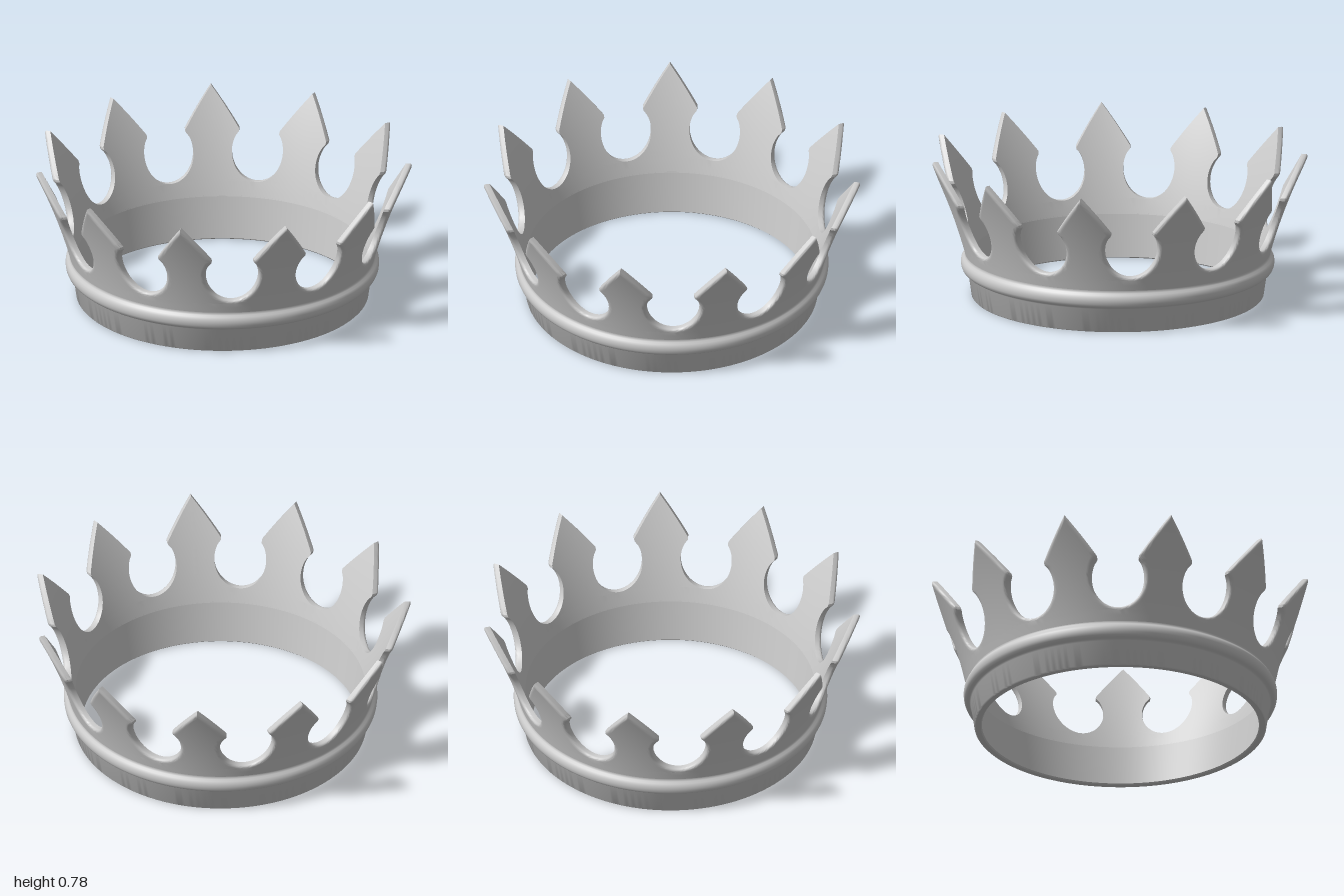
import * as THREE from 'three';
import { mergeGeometries, toCreasedNormals } from 'three/addons/utils/BufferGeometryUtils.js';

const SPIKES = 11;
const HALF = Math.PI / SPIKES;   // half the angle of one spike's sector
const WALL = 0.04, BEVEL = 0.018, COLS = 24, ROUND = 4;
const BASE_TOP = 0.235;
const MEAN_R = 0.87;             // turns angles into lengths for the bevel

// Outer radius of the flaring wall
const outerR = (y) => {
  const h = y - BASE_TOP;
  return 0.8 + 0.27 * h + 0.2 * h * h;
};

// Right edge of one spike, from the bottom of the gap up to the tip: [angle, y]
function spikeEdge() {
  const pts = [];
  for (let i = 0; i <= 24; i++) {
    const a = -Math.PI / 2 + (i / 24) * THREE.MathUtils.degToRad(120);
    pts.push([HALF - 0.165 * Math.cos(a), 0.46 + 0.15 * Math.sin(a)]);
  }
  pts.push([0.161, 0.556], [0.161, 0.571]);
  for (let i = 1; i <= 8; i++) pts.push([0.161 * (1 - i / 8), 0.571 + 0.206 * (i / 8)]);
  return pts;
}

// Mitred outward normal at every edge point
function edgeNormals(pts) {
  const n = pts.length;
  const at = (i) => {
    if (i < 0) return [2 * HALF - pts[1][0], pts[1][1]];
    if (i >= n) return [-pts[n - 2][0], pts[n - 2][1]];
    return pts[i];
  };
  const segment = (p, q) =>
    new THREE.Vector2(q[1] - p[1], -(q[0] - p[0]) * MEAN_R).normalize();
  return pts.map((p, i) => {
    const a = segment(at(i - 1), p), b = segment(p, at(i + 1));
    const k = 1 + a.dot(b);
    return a.add(b).divideScalar(Math.max(k, 0.5));
  });
}

// One sector of wall with its spike: closed sections stacked from bottom to tip
function spikeGeometry() {
  const edge = spikeEdge(), normals = edgeNormals(edge);
  const rows = [];

  const makeRow = (angle, y, normal) => {
    const row = [];
    const inset = (d) => [angle - (normal.x * d) / MEAN_R, y - normal.y * d];
    const put = (a, h, depth) => {
      const r = outerR(h) - depth;
      row.push([r * Math.sin(a), h, r * Math.cos(a)]);
    };
    const [faceAngle, faceY] = inset(BEVEL);
    for (let j = 0; j <= COLS; j++) put(faceAngle * (2 * j / COLS - 1), faceY, 0);
    const rim = [];
    for (let k = 1; k <= ROUND; k++) {
      const t = (k / ROUND) * Math.PI / 2;
      rim.push([...inset(BEVEL * (1 - Math.sin(t))), BEVEL * (1 - Math.cos(t))]);
    }
    rim.forEach(([a, h, d]) => put(a, h, d));
    for (let j = 0; j <= COLS; j++) put(angle * (1 - 2 * j / COLS), y, WALL);
    rim.reverse().forEach(([a, h, d]) => put(-a, h, d));
    return row;
  };

  const flat = new THREE.Vector2(0, 0);
  rows.push(makeRow(HALF, BASE_TOP - 0.005, flat), makeRow(HALF, 0.265, flat));
  const plain = rows.length;     // rows below the gaps have no rim
  edge.forEach(([a, y], i) => rows.push(makeRow(a, y, normals[i])));

  const n = rows[0].length, index = [];
  const innerStart = COLS + 1 + ROUND;
  for (let i = 0; i < rows.length - 1; i++) {
    for (let j = 0; j < n; j++) {
      const onFace = j < COLS || (j >= innerStart && j < innerStart + COLS);
      if (i < plain && !onFace) continue;
      const a = i * n + j, b = i * n + (j + 1) % n;
      index.push(a, b, a + n, b, b + n, a + n);
    }
  }
  const geo = new THREE.BufferGeometry();
  geo.setAttribute('position', new THREE.Float32BufferAttribute(rows.flat(2), 3));
  geo.setIndex(index);
  return geo;
}

export function createModel() {
  const crown = new THREE.Group();
  crown.name = 'crown';
  const material = new THREE.MeshStandardMaterial({ color: 0xcccccc });
  const add = (name, geo, crease) => {
    const mesh = new THREE.Mesh(toCreasedNormals(geo, crease), material);
    mesh.name = name;
    crown.add(mesh);
  };

  // Headband with its rounded bead
  const profile = [
    [0.76, 0.235], [0.725, 0.006], [0.731, 0], [0.759, 0], [0.765, 0.006],
    [0.783, 0.13], [0.79, 0.138], [0.803, 0.142], [0.813, 0.151], [0.819, 0.165],
    [0.821, 0.182], [0.819, 0.198], [0.812, 0.211], [0.803, 0.22], [0.799, 0.228], [0.8, 0.235],
  ].map(([r, y]) => new THREE.Vector2(r, y));
  add('headband', new THREE.LatheGeometry(profile, SPIKES * COLS), 0.75);

  // Flared wall with the ring of spikes, one facing the front
  const spike = spikeGeometry();
  const sectors = Array.from({ length: SPIKES }, (_, i) => spike.clone().rotateY(2 * HALF * i));
  add('spikedWall', mergeGeometries(sectors), 0.6);

  crown.position.z = -0.02;
  return crown;
}
